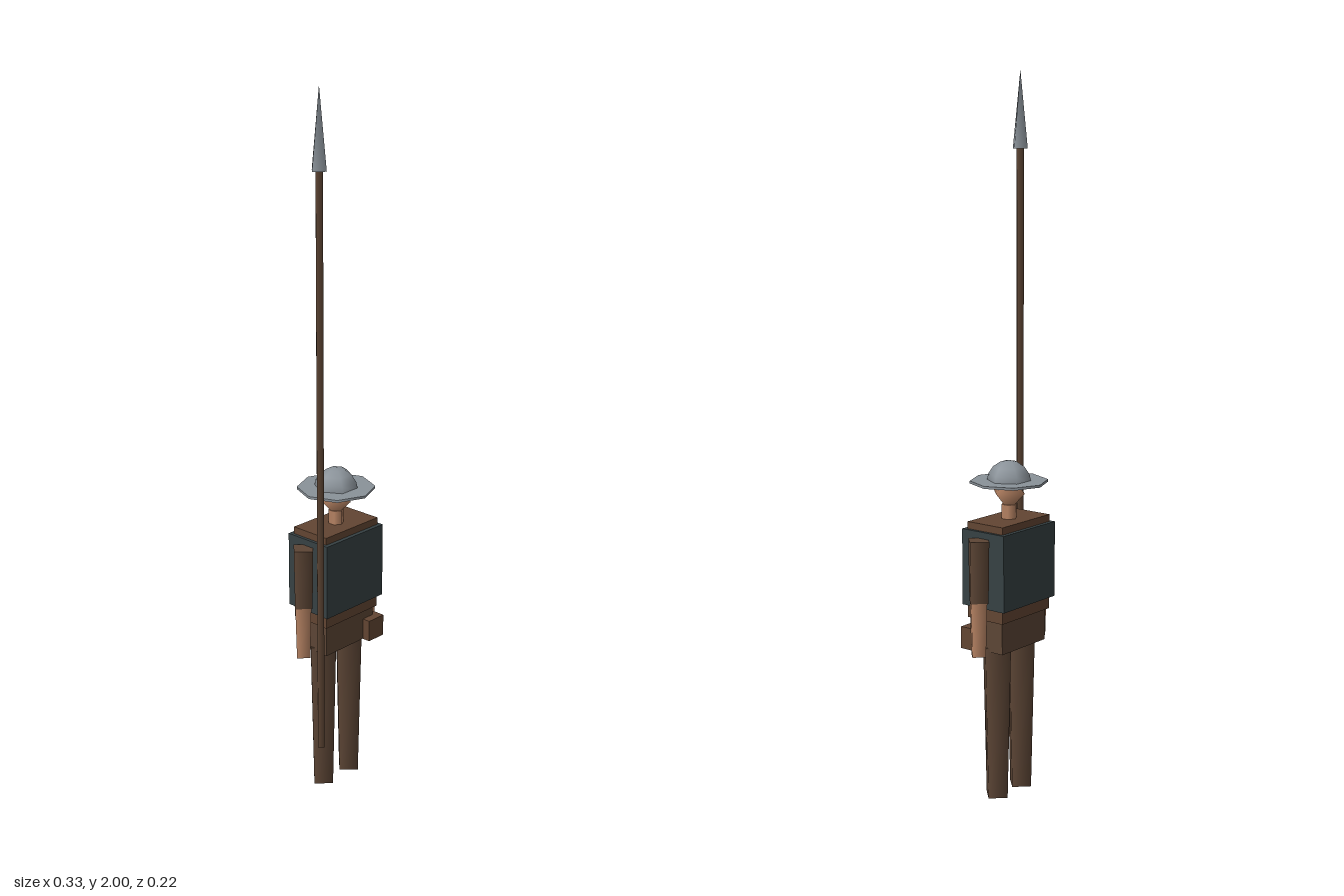
import * as THREE from 'three';

const mat = (name, color) => new THREE.MeshStandardMaterial({ name, color });

export function createModel() {
  const cloth = mat('brown cloth', 0x5c4535);
  const leather = mat('brown leather', 0x624532);
  const wood = mat('spear wood', 0x5c4433);
  const skin = mat('skin', 0xb88464);
  const steel = mat('steel', 0x8a9299);
  const vest = mat('dark vest', 0x364143);

  const model = new THREE.Group();
  model.name = 'spearman';

  const add = (name, geometry, material, x, y, z, parent = model) => {
    const mesh = new THREE.Mesh(geometry, material);
    mesh.name = name;
    mesh.position.set(x, y, z);
    parent.add(mesh);
    return mesh;
  };
  const box = (name, w, d, y0, y1, material, x = 0, z = 0) =>
    add(name, new THREE.BoxGeometry(w, y1 - y0, d), material, x, (y0 + y1) / 2, z);
  // Four-sided tapered limb with smooth sides, corners on the axes
  const limb = (name, rTop, rBottom, y0, y1, material, x, z = 0, sides = 4) =>
    add(name, new THREE.CylinderGeometry(rTop, rBottom, y1 - y0, sides), material, x, (y0 + y1) / 2, z);

  // Legs and arms, mirrored
  for (const [side, s] of [['left', 1], ['right', -1]]) {
    limb(side + 'Leg', 0.05, 0.038, 0, 0.44, cloth, s * 0.053);
    limb(side + 'UpperArm', 0.037, 0.034, 0.58, 0.752, cloth, s * 0.13);
    limb(side + 'Forearm', 0.031, 0.026, 0.428, 0.58, skin, s * 0.132);
  }

  // Body: hips, tunic and the vest wrapped around the chest
  box('hips', 0.19, 0.106, 0.43, 0.53, cloth);
  box('tunic', 0.208, 0.122, 0.52, 0.79, leather);
  box('vest', 0.226, 0.146, 0.556, 0.77, vest);
  box('pouch', 0.06, 0.04, 0.43, 0.492, leather, 0.085, 0.057);

  // Neck and faceted head
  limb('neck', 0.022, 0.022, 0.785, 0.83, skin, 0, 0, 6);
  add('head', new THREE.SphereGeometry(0.055, 4, 2), skin, 0, 0.865, 0);

  // Wide-brimmed helmet
  const helmet = new THREE.Group();
  helmet.name = 'helmet';
  model.add(helmet);
  add('brim', new THREE.CylinderGeometry(0.108, 0.108, 0.007, 8), steel, 0, 0.893, 0, helmet);
  add('dome', new THREE.SphereGeometry(0.062, 6, 4, 0, Math.PI * 2, 0, Math.PI / 2), steel, 0, 0.89, 0, helmet);

  // Spear
  limb('spearShaft', 0.013, 0.013, 0.165, 1.795, wood, -0.13, 0.065);
  limb('spearTip', 0, 0.026, 1.79, 2, steel, -0.13, 0.065);

  return model;
}
